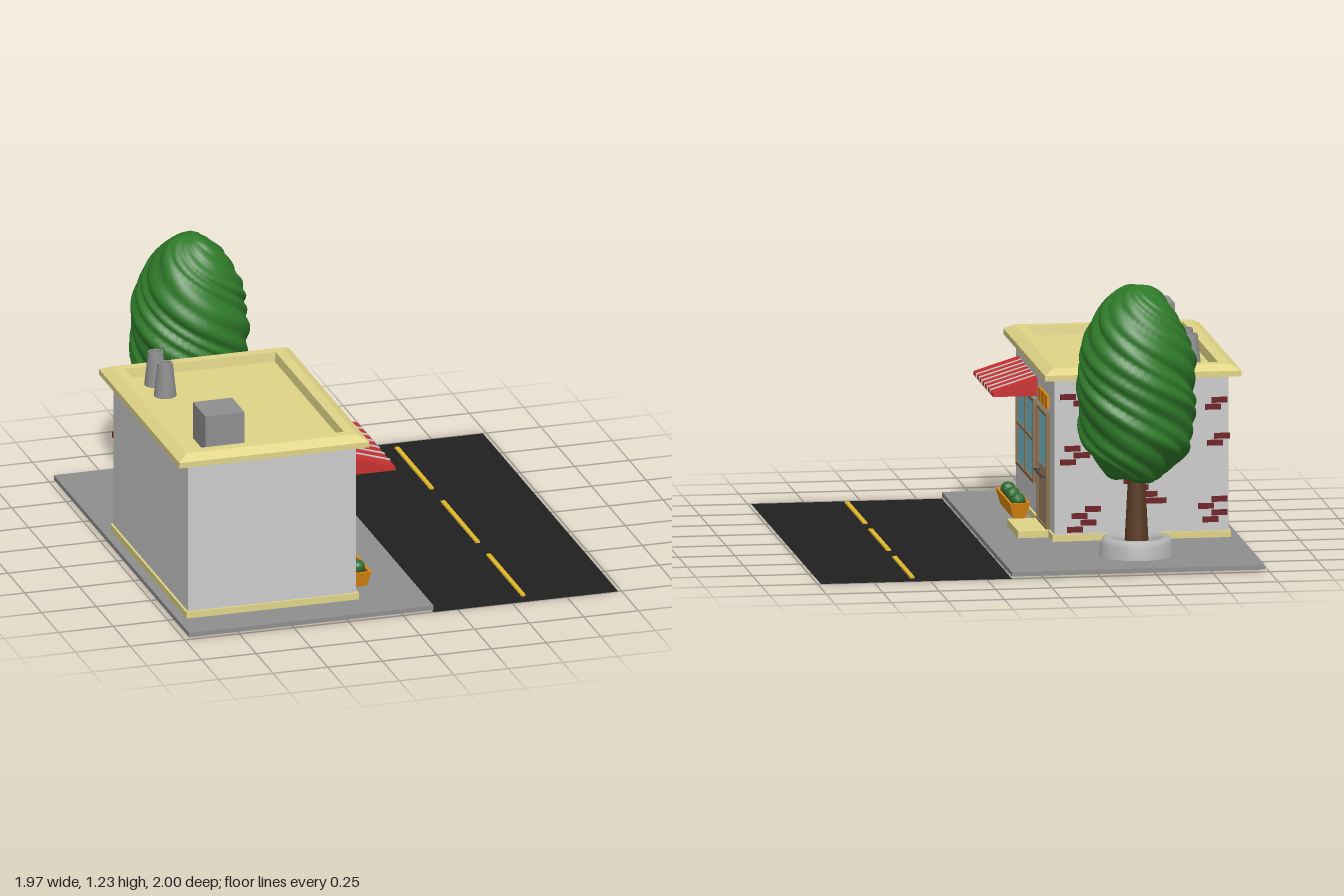
import * as THREE from 'three';

const mat = (color, extra = {}) => new THREE.MeshStandardMaterial({ color, ...extra });
const M = {
  wall: mat(0xcccccc), cream: mat(0xe0d487), grey: mat(0x8e8e8e), pale: mat(0xb4b4b4),
  asphalt: mat(0x202020, { side: THREE.DoubleSide }), yellow: mat(0xe0b62a), wood: mat(0xa58a66),
  frame: mat(0x8a7050), glass: mat(0x78c4d4), red: mat(0xc83030), brick: mat(0x6e1c22),
  orange: mat(0xe08a10), bark: mat(0x5a3a24), soil: mat(0x4a3018), dark: mat(0x444448),
  leaf: mat(0x2f7a2a), bush: mat(0x2a6a30, { flatShading: true }),
};

function add(parent, name, geo, material, x = 0, y = 0, z = 0) {
  const m = new THREE.Mesh(geo, material);
  m.name = name;
  m.position.set(x, y, z);
  parent.add(m);
  return m;
}

// box given by its extents
function box(parent, name, material, [x0, x1], [y0, y1], [z0, z1]) {
  return add(parent, name, new THREE.BoxGeometry(x1 - x0, y1 - y0, z1 - z0), material,
    (x0 + x1) / 2, (y0 + y1) / 2, (z0 + z1) / 2);
}

// stacked rectangular loops, each [inset, y], closed at both ends
function rectLoft([x0, x1], [z0, z1], profile) {
  const pos = [];
  const quad = (a, b, c, d) => [a, b, c, a, c, d].forEach(p => pos.push(...p));
  const loops = profile.map(([i, y]) => [
    [x0 + i, y, z1 - i], [x1 - i, y, z1 - i], [x1 - i, y, z0 + i], [x0 + i, y, z0 + i]]);
  for (let k = 0; k + 1 < loops.length; k++) {
    const a = loops[k], b = loops[k + 1];
    for (let s = 0; s < 4; s++) quad(a[s], a[(s + 1) % 4], b[(s + 1) % 4], b[s]);
  }
  quad(...loops[loops.length - 1]);
  quad(...[...loops[0]].reverse());
  const g = new THREE.BufferGeometry();
  g.setAttribute('position', new THREE.Float32BufferAttribute(pos, 3));
  g.computeVertexNormals();
  return g;
}

// rectangular frame on the front wall, facing +x
function wallFrame(parent, name, [y0, y1], [z0, z1], w, x0, x1) {
  box(parent, name, M.frame, [x0, x1], [y0, y0 + w], [z0, z1]);
  box(parent, name, M.frame, [x0, x1], [y1 - w, y1], [z0, z1]);
  for (const z of [z0, z1 - w]) box(parent, name, M.frame, [x0, x1], [y0 + w, y1 - w], [z, z + w]);
}

function group(parent, name) {
  const g = new THREE.Group();
  g.name = name;
  parent.add(g);
  return g;
}

function buildGround(root) {
  const g = group(root, 'ground');
  box(g, 'sidewalk', M.grey, [-0.98, 0.14], [0.01, 0.03], [-1, 1]);
  add(g, 'road', new THREE.PlaneGeometry(0.845, 2).rotateX(-Math.PI / 2), M.asphalt, 0.5625, 0, 0);
  for (const z of [-0.675, 0.005, 0.68]) box(g, 'laneStripe', M.yellow, [0.56, 0.58], [0.002, 0.01], [z - 0.26, z + 0.26]);
}

function buildShell(root) {
  const g = group(root, 'building');
  box(g, 'walls', M.wall, [-0.93, -0.16], [0.03, 0.755], [-0.28, 0.82]);
  box(g, 'baseTrim', M.cream, [-0.94, -0.15], [0.03, 0.06], [-0.29, 0.83]);
  box(g, 'doorStep', M.cream, [-0.15, -0.015], [0.03, 0.06], [-0.18, 0.14]);
  add(g, 'roof', rectLoft([-0.98, -0.11], [-0.33, 0.86],
    [[0.05, 0.75], [0, 0.75], [0, 0.775], [0.045, 0.8], [0.09, 0.8], [0.095, 0.757]]), M.cream);

  // exposed brick patches on the side wall
  const bricks = [
    [-0.89, 0.64], [-0.86, 0.61], [-0.9, 0.48], [-0.87, 0.45], [-0.89, 0.2], [-0.83, 0.17], [-0.89, 0.14],
    [-0.85, 0.11], [-0.62, 0.2], [-0.58, 0.23], [-0.54, 0.26], [-0.5, 0.29], [-0.46, 0.32], [-0.55, 0.2],
    [-0.52, 0.57], [-0.58, 0.54], [-0.64, 0.48], [-0.25, 0.08], [-0.31, 0.11], [-0.27, 0.14], [-0.33, 0.17],
    [-0.22, 0.38], [-0.28, 0.41], [-0.24, 0.44], [-0.22, 0.67], [-0.28, 0.64], [-0.35, 0.61]];
  for (const [x, y] of bricks)
    box(g, 'brick', M.brick, [x - 0.035, x + 0.035], [y - 0.0125, y + 0.0125], [-0.287, -0.275]);
}

function buildFront(root) {
  // window with four panes
  const win = group(root, 'window');
  box(win, 'windowGlass', M.glass, [-0.165, -0.154], [0.2, 0.57], [0.24, 0.74]);
  wallFrame(win, 'windowFrame', [0.195, 0.57], [0.235, 0.745], 0.016, -0.165, -0.145);
  box(win, 'windowBar', M.frame, [-0.165, -0.147], [0.378, 0.39], [0.25, 0.73]);
  box(win, 'windowBar', M.frame, [-0.165, -0.147], [0.21, 0.555], [0.484, 0.496]);

  // door
  const door = group(root, 'door');
  box(door, 'doorPanel', M.wood, [-0.165, -0.15], [0.06, 0.32], [-0.14, 0.11]);
  box(door, 'doorGlass', M.glass, [-0.165, -0.153], [0.32, 0.56], [-0.14, 0.11]);
  wallFrame(door, 'doorFrame', [0.055, 0.57], [-0.15, 0.12], 0.012, -0.165, -0.142);
  add(door, 'doorHandle', new THREE.CylinderGeometry(0.005, 0.005, 0.22, 8).rotateX(Math.PI / 2), M.dark, -0.13, 0.287, -0.015);
  for (const z of [-0.11, 0.08]) box(door, 'handleMount', M.dark, [-0.152, -0.13], [0.283, 0.291], [z - 0.004, z + 0.004]);

  // plain sign blocks above the door
  for (let i = 0; i < 4; i++)
    box(root, 'signBlock', M.orange, [-0.162, -0.148], [0.59, 0.65], [-0.137 + i * 0.065, -0.085 + i * 0.065]);

  // striped awning: the same wedge, with slightly larger slices for the stripes
  const awning = group(root, 'awning');
  const wedge = (name, material, z0, z1, e) => {
    const s = new THREE.Shape([[-0.165, 0.59], [0.037 + e, 0.59], [0.037 + e, 0.607 + e], [-0.165, 0.67 + e]]
      .map(p => new THREE.Vector2(...p)));
    add(awning, name, new THREE.ExtrudeGeometry(s, { depth: z1 - z0, bevelEnabled: false }), material, 0, 0, z0);
  };
  wedge('awningCloth', M.red, 0.205, 0.765, 0);
  for (let i = 0; i < 6; i++) wedge('awningStripe', M.wall, 0.277 + i * 0.0785, 0.292 + i * 0.0785, 0.003);

  // flower box
  const planter = group(root, 'planter');
  add(planter, 'planterBox', rectLoft([-0.14, -0.05], [0.285, 0.7],
    [[0.018, 0.03], [0, 0.1], [0.01, 0.1], [0.012, 0.088]]), M.orange);
  box(planter, 'soil', M.soil, [-0.128, -0.062], [0.08, 0.092], [0.298, 0.687]);
  for (const z of [0.35, 0.49, 0.63])
    add(planter, 'bush', new THREE.IcosahedronGeometry(0.034, 1), M.bush, -0.095, 0.103, z).rotation.y = z * 9;
}

function buildRoofGear(root) {
  // vent pipes, hollow at the top
  for (const z of [-0.13, 0.01]) {
    const p = [[0.05, 0], [0.033, 0.153], [0.024, 0.153], [0.022, 0.08], [0, 0.08]].map(q => new THREE.Vector2(...q));
    const geo = new THREE.LatheGeometry(p, 20).toNonIndexed();
    geo.computeVertexNormals();
    add(root, 'ventPipe', geo, M.grey, -0.783, 0.757, z);
  }

  // cooling unit with a fan on its front
  const ac = group(root, 'coolingUnit');
  box(ac, 'unitBody', M.grey, [-0.82, -0.665], [0.755, 0.925], [0.54, 0.725]);
  const face = new THREE.Shape([[-0.0925, -0.085], [0.0925, -0.085], [0.0925, 0.085], [-0.0925, 0.085]]
    .map(p => new THREE.Vector2(...p)));
  face.holes.push(new THREE.Path().absarc(0, 0, 0.07, 0, Math.PI * 2, true));
  const faceGeo = new THREE.ExtrudeGeometry(face, { depth: 0.025, bevelEnabled: false, curveSegments: 24 });
  add(ac, 'fanHousing', faceGeo.rotateY(Math.PI / 2), M.grey, -0.665, 0.84, 0.6325);
  const fan = group(ac, 'fan');
  fan.position.set(-0.653, 0.84, 0.6325);
  add(fan, 'fanHub', new THREE.CylinderGeometry(0.016, 0.016, 0.016, 16).rotateZ(Math.PI / 2), M.pale);
  for (let i = 0; i < 5; i++) {
    const blade = new THREE.BoxGeometry(0.003, 0.052, 0.026).rotateY(0.4).translate(0, 0.038, 0);
    add(fan, 'fanBlade', blade, M.pale).rotation.x = i * Math.PI * 2 / 5;
  }
}

function buildTree(root) {
  const tree = group(root, 'tree');
  tree.position.set(-0.465, 0.03, -0.655);
  const ring = [[0.165, 0], [0.158, 0.055], [0.148, 0.078], [0.125, 0.082], [0.108, 0.074], [0.102, 0.05], [0.1, 0.01]];
  add(tree, 'treeRing', new THREE.LatheGeometry(ring.map(q => new THREE.Vector2(...q)), 32), M.pale);
  add(tree, 'soil', new THREE.CylinderGeometry(0.103, 0.103, 0.03, 32), M.grey, 0, 0.015, 0);
  add(tree, 'trunk', new THREE.CylinderGeometry(0.034, 0.056, 0.42, 12), M.bark, 0, 0.21, 0);

  // crown: lathed outline carved with spiral ridges
  const outline = new THREE.SplineCurve([[0.001, 0.36], [0.1, 0.34], [0.17, 0.4], [0.232, 0.5], [0.252, 0.64],
    [0.257, 0.76], [0.245, 0.88], [0.21, 1.0], [0.15, 1.11], [0.075, 1.18], [0.001, 1.2]].map(q => new THREE.Vector2(...q)));
  const geo = new THREE.LatheGeometry(outline.getPoints(70), 120);
  const p = geo.attributes.position;
  for (let i = 0; i < p.count; i++) {
    const x = p.getX(i), y = p.getY(i), z = p.getZ(i), r = Math.hypot(x, z);
    const a = Math.atan2(x, z) + 7 * y;
    const ridge = 0.07 * (Math.abs(Math.sin(a * 5.5 + 0.6 * Math.sin(a * 2 + y * 3))) - 0.6)
      + 0.025 * Math.sin(a * 3 + y * 9) + 0.02 * Math.sin(a * 4 - y * 12);
    const k = 1 + ridge * Math.min(1, r / 0.08);
    p.setXYZ(i, x * k, y + 0.012 * Math.sin(a * 3) * Math.min(1, r / 0.15), z * k);
  }
  geo.computeVertexNormals();
  add(tree, 'crown', geo, M.leaf);
}

export function createModel() {
  const root = new THREE.Group();
  root.name = 'cornerStore';
  buildGround(root);
  buildShell(root);
  buildFront(root);
  buildRoofGear(root);
  buildTree(root);
  return root;
}
